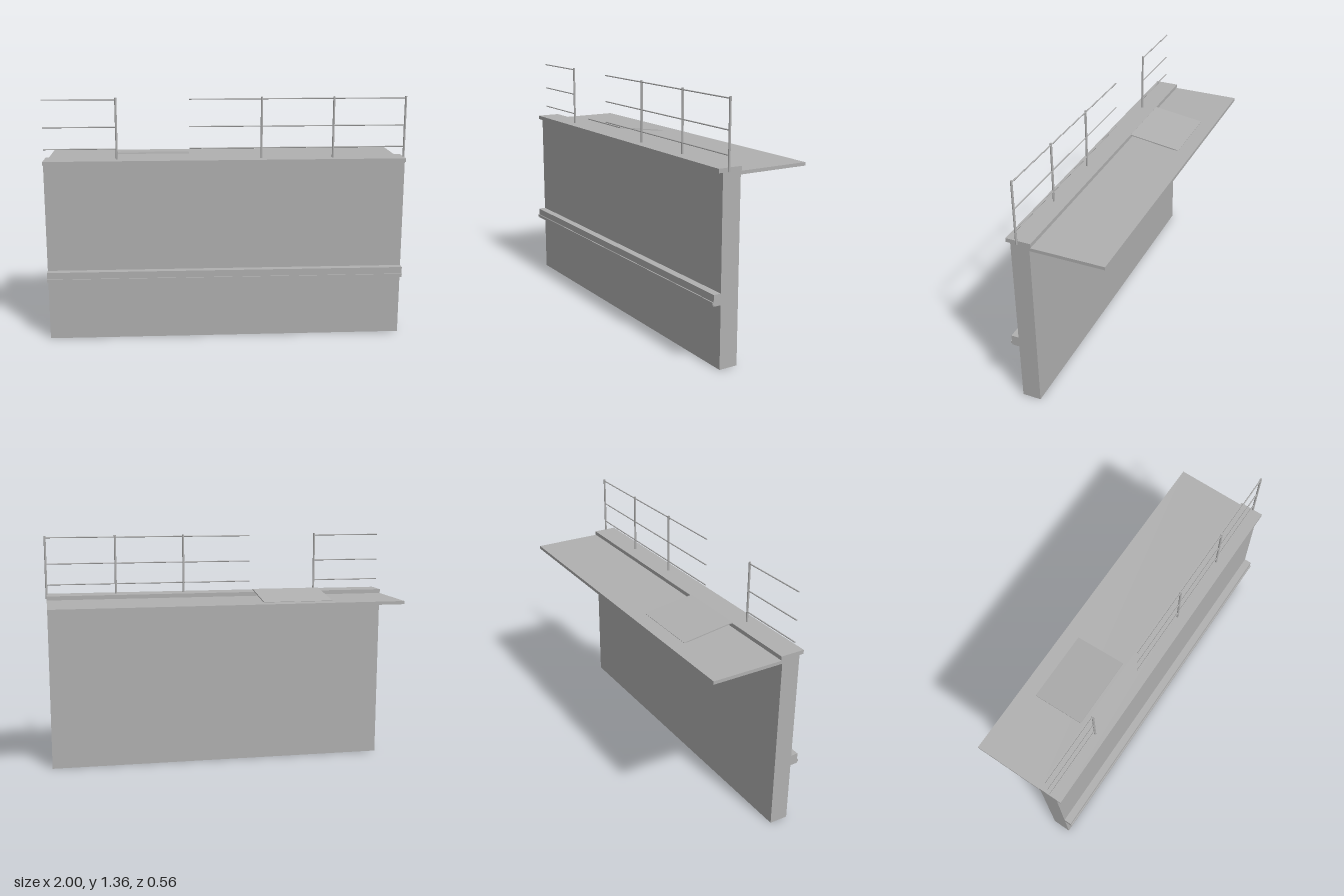
import * as THREE from 'three';

export function createModel() {
  const model = new THREE.Group();
  const grey = new THREE.MeshStandardMaterial({ color: 0xb0b0b0 });
  grey.name = 'concrete grey';

  const left = -1, right = 0.994, bay = (right - left) / 10;
  const railZ = 0.195;

  function add(name, geometry, x, y, z) {
    const mesh = new THREE.Mesh(geometry, grey);
    mesh.name = name;
    mesh.position.set(x, y, z);
    model.add(mesh);
    return mesh;
  }

  // Box given by its lower and upper limits on each axis
  function block(name, x0, x1, y0, y1, z0, z1) {
    return add(name, new THREE.BoxGeometry(x1 - x0, y1 - y0, z1 - z0),
      (x0 + x1) / 2, (y0 + y1) / 2, (z0 + z1) / 2);
  }

  // Wall with its coping, rear walkway and front ledge
  block('wall', left, right, 0, 1, 0.125, 0.23);
  block('coping', left, right, 1, 1.022, 0.118, 0.255);
  block('walkway', left, right, 0.98, 0.998, -0.278, 0.125);
  block('ledge', left, right, 0.34, 0.4, 0.23, 0.272);
  block('ledgeLip', left, right, 0.348, 0.362, 0.272, 0.278);

  // Hatch cover, hinged at the back and slightly raised at the front
  const rise = 0.042, depth = 0.295;
  const hatch = add('hatch',
    new THREE.BoxGeometry(2 * bay, 0.006, Math.hypot(rise, depth)),
    left + 3 * bay, 0.997 + rise / 2, 0.103 - depth / 2);
  hatch.rotation.x = -Math.atan2(rise, depth);

  // Railing posts, at whole bays from the right-hand end
  for (const n of [2, 6, 8, 10]) {
    add('railingPost', new THREE.CylinderGeometry(0.006, 0.006, 0.36, 12),
      left + n * bay, 1.18, railZ);
  }

  // Three rails on either side of the hatch opening
  for (const [from, to] of [[0, 2], [4, 10]]) {
    for (const y of [1.08, 1.2, 1.35]) {
      const length = (to - from) * bay;
      const rail = add('rail', new THREE.CylinderGeometry(0.0035, 0.0035, length, 8),
        left + (from + to) / 2 * bay, y, railZ);
      rail.rotation.z = Math.PI / 2;
    }
  }
  return model;
}
